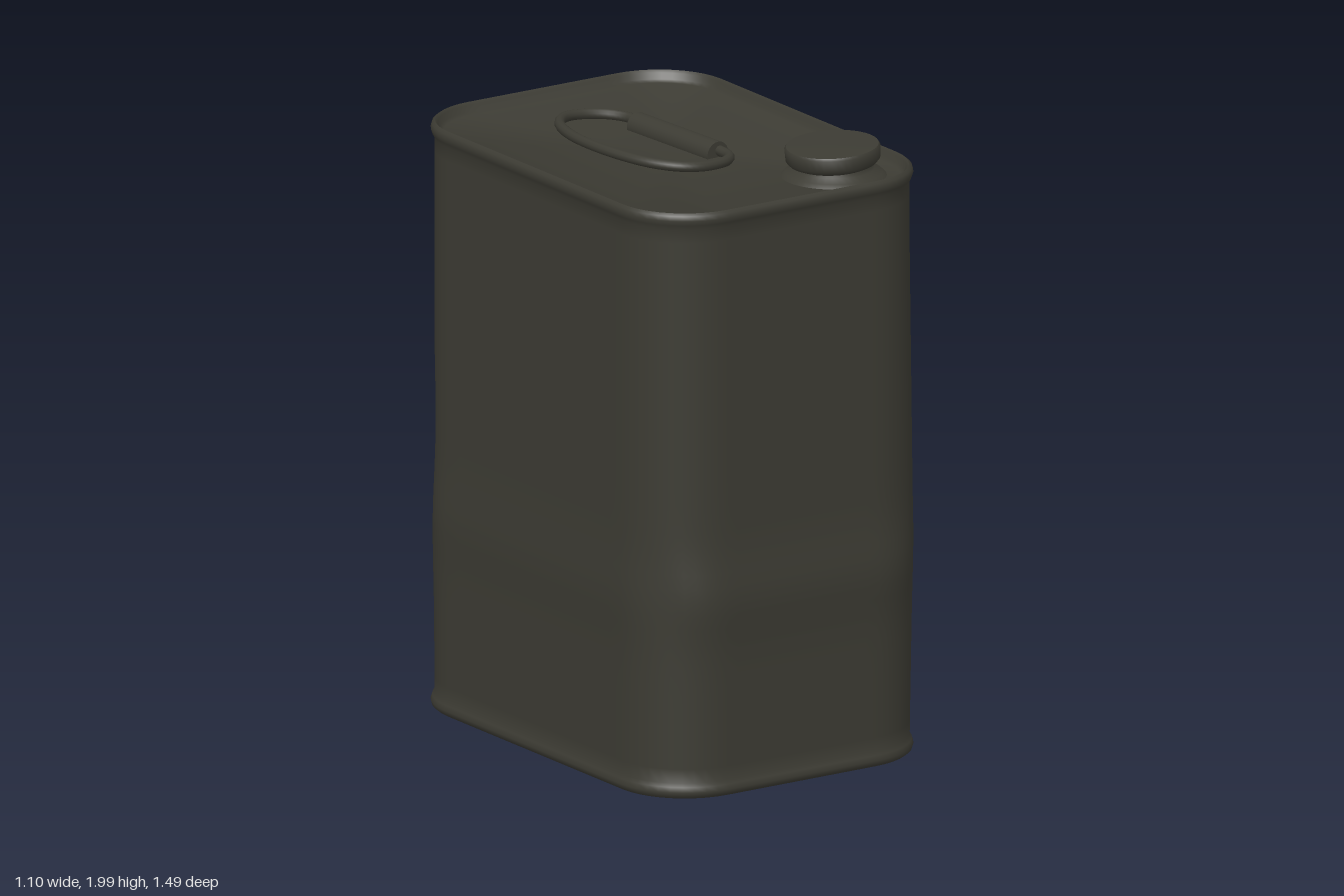
import * as THREE from 'three';
import { toCreasedNormals } from 'three/addons/utils/BufferGeometryUtils.js';

const HX = 0.535, HZ = 0.74, R = 0.25, CX = -0.015, PANEL = 1.887;

const bell = (v, centre, width) => Math.exp(-(((v - centre) / width) ** 2));
const ramp = (v, a, b) => THREE.MathUtils.smoothstep(v, a, b);
// straight-sided hump rising from a to the peak p and falling to b
const hump = (v, a, p, b) => Math.max(0, Math.min((v - a) / (p - a), (b - v) / (b - p)));

// rounded rectangle loop, inset by d
function loop(d) {
  const pts = [], r = R - d, arc = 10, side = 14;
  const corners = [[1, 1], [-1, 1], [-1, -1], [1, -1]];
  const at = (k, t) => {
    const [sx, sz] = corners[k % 4], a = (k + t) * Math.PI / 2;
    return new THREE.Vector2(sx * (HX - R) + r * Math.cos(a), sz * (HZ - R) + r * Math.sin(a));
  };
  for (let k = 0; k < 4; k++) {
    for (let i = 0; i <= arc; i++) pts.push(at(k, i / arc));
    const a = at(k, 1), b = at(k + 1, 0);
    for (let i = 1; i < side; i++) pts.push(a.clone().lerp(b, i / side));
  }
  return pts;
}

// knocks and bulges in the sheet-metal walls
function dent(p) {
  const fade = ramp(p.y, 0.05, 0.2) * (1 - ramp(p.y, 1.7, 1.87));
  const { x, y, z } = p;
  // swollen long side
  p.x += 0.043 * hump(y, 0.05, 0.72, 1.65) * hump(z, -0.52, -0.35, 1.1) * ramp(x, 0.35, 0.5);
  // back wall: hollow above, swelling below
  const back = ramp(-z, 0.55, 0.72) * fade;
  p.z += back * (0.018 * bell(y, 0.96, 0.17) - 0.016 * bell(y, 0.52, 0.18));
  // slight swelling at the front and far side
  p.z += 0.016 * fade * ramp(z, 0.6, 0.72) * bell(y, 0.64, 0.12);
  p.x -= 0.008 * fade * ramp(-x, 0.45, 0.52) * bell(y, 0.64, 0.12);
  // knocked-in rear corner
  const hit = 0.04 * bell(y, 0.6, 0.13) * bell(x, 0.4, 0.16) * bell(z, -0.67, 0.16);
  p.x -= hit;
  p.z += hit;
}

// can: inset/height profile swept round the loop, closed by flat end panels
function canGeometry() {
  const profile = [[0.04, 0.03], [0.028, 0.028], [0.024, 0.01], [0.014, 0], [0.004, 0.008],
    [0, 0.022], [0.005, 0.038], [0.012, 0.05]];
  const rows = 40;
  for (let i = 1; i < rows; i++) profile.push([0.012, 0.05 + 1.82 * i / rows]);
  profile.push([0.012, 1.87], [0.005, 1.884], [0, 1.9], [0.004, 1.915], [0.014, 1.923],
    [0.023, 1.915], [0.028, 1.895], [0.04, PANEL]);
  const pos = [], idx = [];
  const n = loop(0).length;
  profile.forEach(([d, y]) => loop(d).forEach(q => {
    const p = new THREE.Vector3(q.x, y, q.y);
    if (y > 0.05 && y < 1.87) dent(p);
    pos.push(p.x + CX, p.y, p.z);
  }));
  const last = profile.length - 1, low = pos.length / 3, high = low + 1;
  pos.push(CX, 0.03, 0, CX, PANEL, 0);
  for (let j = 0; j < n; j++) {
    const k = (j + 1) % n;
    for (let i = 0; i < last; i++) {
      const a = i * n + j, b = i * n + k, c = b + n, e = a + n;
      idx.push(a, e, c, a, c, b);
    }
    idx.push(low, j, k, high, last * n + k, last * n + j);
  }
  const g = new THREE.BufferGeometry();
  g.setAttribute('position', new THREE.Float32BufferAttribute(pos, 3));
  g.setIndex(idx);
  return toCreasedNormals(g, 0.9);
}

export function createModel() {
  const model = new THREE.Group();
  const paint = new THREE.MeshStandardMaterial({ color: 0x3c3b33 });
  paint.name = 'dark olive paint';
  const add = (name, geometry, parent = model) => {
    const mesh = new THREE.Mesh(geometry, paint);
    mesh.name = name;
    parent.add(mesh);
    return mesh;
  };
  const lathe = pts => toCreasedNormals(
    new THREE.LatheGeometry(pts.map(p => new THREE.Vector2(...p)), 40), 0.7);

  add('canBody', canGeometry());

  // spout: flared collar under a slightly tilted cap
  const spout = new THREE.Group();
  spout.name = 'spout';
  spout.position.set(0.268, PANEL, 0.49);
  model.add(spout);
  add('collar', lathe([[0.17, -0.002], [0.155, 0.012], [0.128, 0.024], [0.12, 0.036], [0.12, 0.06]]), spout);
  const cap = add('cap', lathe([[0, 0.036], [0.122, 0.036], [0.14, 0.044], [0.15, 0.056],
    [0.152, 0.092], [0.147, 0.1], [0, 0.105]]), spout);
  cap.rotation.z = 0.055;

  // carrying ring, lifted on its free side
  const ring = [[0.05, -0.27], [0.045, -0.34], [0.005, -0.395], [-0.07, -0.425], [-0.14, -0.415],
    [-0.205, -0.35], [-0.25, -0.23], [-0.263, -0.1], [-0.25, 0.05], [-0.21, 0.18], [-0.15, 0.25],
    [-0.075, 0.272], [0.015, 0.25], [0.07, 0.195], [0.083, 0.11]];
  const path = new THREE.CatmullRomCurve3(ring.map(([x, z]) =>
    new THREE.Vector3(x, 1.908 - 0.07 * (x - 0.08), z)));
  add('carryRing', new THREE.TubeGeometry(path, 72, 0.017, 10));

  // grip sleeve clamping the ring to the lid
  const from = new THREE.Vector3(0.05, 1.896, -0.29), to = new THREE.Vector3(0.075, 1.896, 0.125);
  const grip = add('gripSleeve', new THREE.CylinderGeometry(0.042, 0.042, from.distanceTo(to), 20));
  grip.position.copy(from).lerp(to, 0.5);
  grip.quaternion.setFromUnitVectors(new THREE.Vector3(0, 1, 0), to.clone().sub(from).normalize());

  return model;
}
